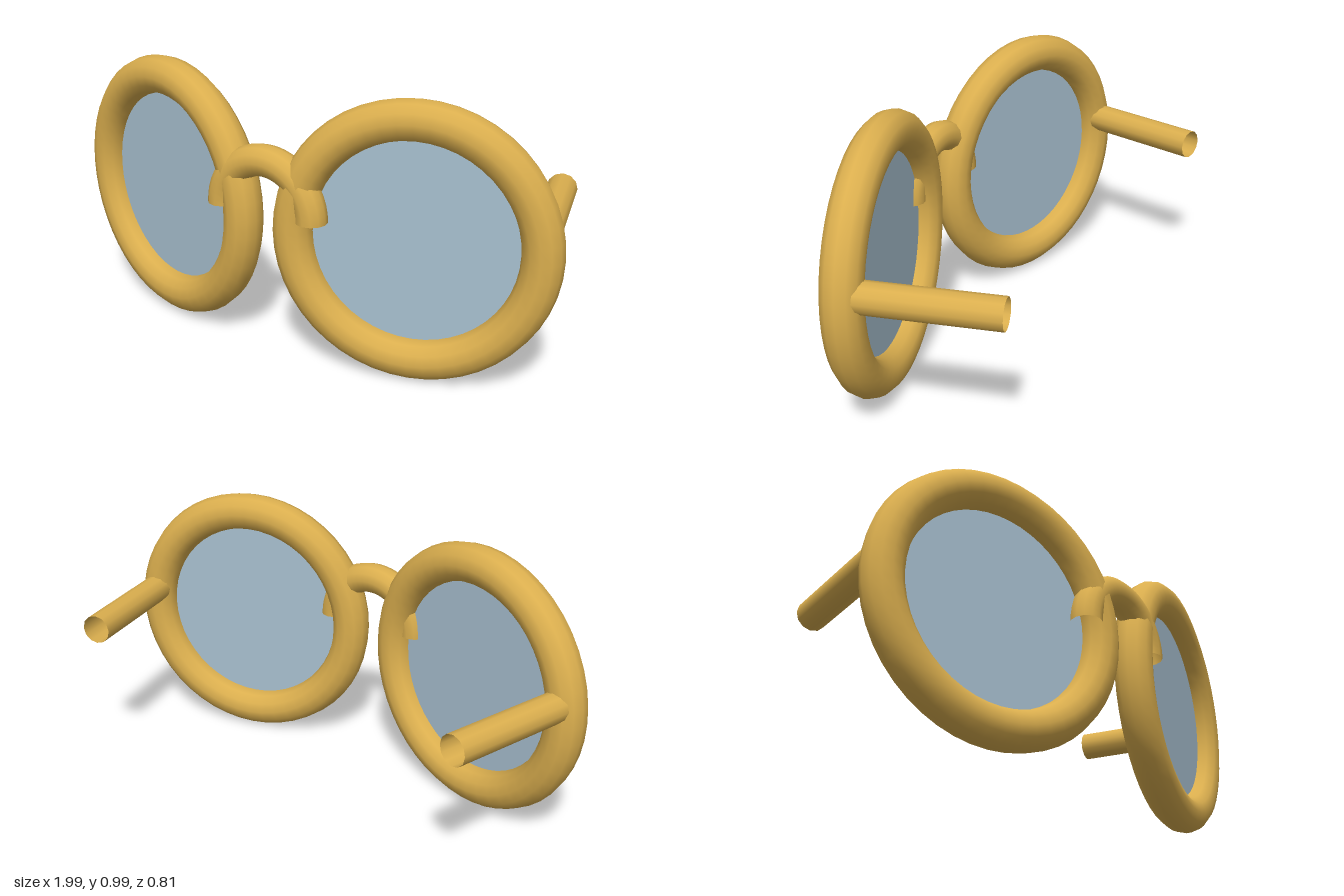
import * as THREE from 'three';

export function createModel() {
  const model = new THREE.Group();
  model.name = 'glasses';

  const gold = new THREE.MeshStandardMaterial({ color: 0xdaae4e, side: THREE.DoubleSide });
  gold.name = 'gold frame';
  const glass = new THREE.MeshStandardMaterial({ color: 0xa8c0d0, side: THREE.DoubleSide });
  glass.name = 'blue glass';

  const add = (name, geometry, material, parent) => {
    const mesh = new THREE.Mesh(geometry, material);
    mesh.name = name;
    parent.add(mesh);
    return mesh;
  };

  const tilt = THREE.MathUtils.degToRad(15);
  const rimGeometry = new THREE.TorusGeometry(0.426, 0.071, 12, 48);
  const lensGeometry = new THREE.CircleGeometry(0.426, 48);
  const templeLength = 0.52;
  const templeGeometry = new THREE.CylinderGeometry(0.055, 0.055, templeLength, 12, 1, true);
  templeGeometry.rotateX(Math.PI / 2);

  for (const [label, s] of [['left', 1], ['right', -1]]) {
    // Rim and lens, swept back towards the outside
    const eye = new THREE.Group();
    eye.name = label + 'Eyepiece';
    eye.position.set(s * 0.517, 0.503, 0.22);
    eye.rotation.y = s * tilt;
    model.add(eye);
    add(label + 'Rim', rimGeometry, gold, eye);
    add(label + 'Lens', lensGeometry, glass, eye);

    // Short open temple, square to the lens
    const temple = add(label + 'Temple', templeGeometry, gold, model);
    temple.rotation.y = s * tilt;
    temple.position.set(
      s * (0.785 + Math.sin(tilt) * templeLength / 2),
      0.565,
      -0.392 + Math.cos(tilt) * templeLength / 2
    );
  }

  // Arched nose bridge, its open ends forming the nose pads
  const bridge = add('bridge', new THREE.TorusGeometry(0.185, 0.057, 12, 24, Math.PI), gold, model);
  bridge.position.set(0, 0.545, 0.337);

  return model;
}
